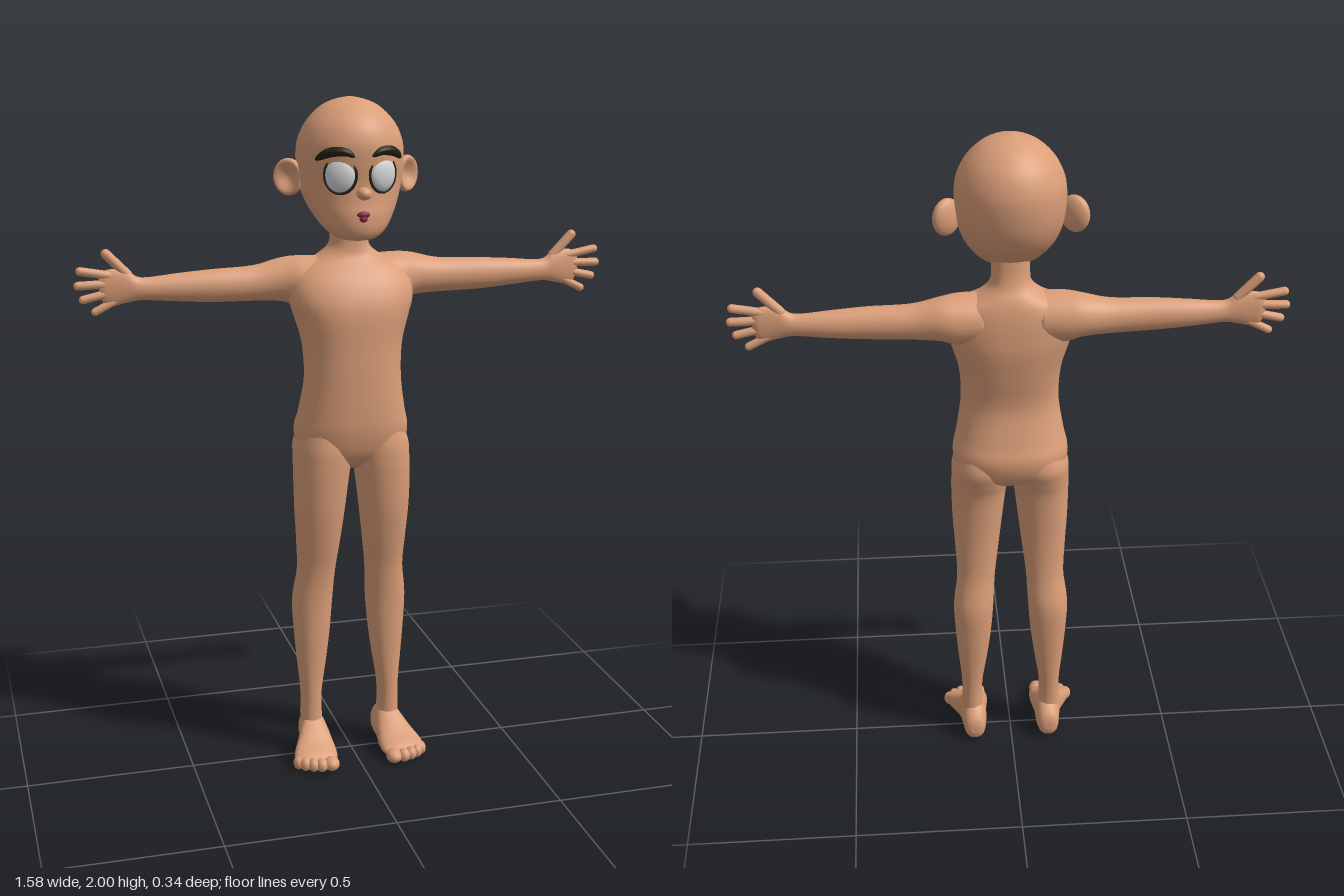
import * as THREE from 'three';

const mat = (name, color) => Object.assign(new THREE.MeshStandardMaterial({ color }), { name });

// Smooth scalar interpolation between neighbouring cross-sections
const blend = (a, b, c, d, t) =>
  0.5 * (2 * b + (c - a) * t + (2 * a - 5 * b + 4 * c - d) * t * t + (3 * b - a - 3 * c + d) * t * t * t);

// Closed loft along an axis. Rows are [w, uMin, uMax, vMin, vMax], where
// (u, v, w) is (z, x, y) for 'y', (y, z, x) for 'x' and (x, y, z) for 'z'.
function loft(axis, rows, power = 2, sides = 32, steps = 5) {
  const place = { x: (u, v, w) => [w, u, v], y: (u, v, w) => [v, w, u], z: (u, v, w) => [u, v, w] }[axis];
  const round = (s) => Math.sign(s) * Math.abs(s) ** (2 / power);
  const at = (i) => rows[Math.max(0, Math.min(rows.length - 1, i))];
  const rings = (rows.length - 1) * steps;
  const pos = [], idx = [];
  for (let k = 0; k <= rings; k++) {
    const i = Math.min(Math.floor(k / steps), rows.length - 2), t = k / steps - i;
    const [w, u0, u1, v0, v1] = rows[0].map((_, j) => blend(at(i - 1)[j], at(i)[j], at(i + 1)[j], at(i + 2)[j], t));
    for (let s = 0; s < sides; s++) {
      const a = (s / sides) * Math.PI * 2;
      pos.push(...place((u0 + u1) / 2 + (u1 - u0) / 2 * round(Math.cos(a)),
        (v0 + v1) / 2 + (v1 - v0) / 2 * round(Math.sin(a)), w));
      if (k < rings) {
        const p = k * sides + s, q = k * sides + (s + 1) % sides;
        idx.push(p, q, q + sides, p, q + sides, p + sides);
      }
    }
  }
  // End caps
  [rows[0], rows[rows.length - 1]].forEach(([w, u0, u1, v0, v1], end) => {
    const c = pos.length / 3, base = end ? rings * sides : 0;
    pos.push(...place((u0 + u1) / 2, (v0 + v1) / 2, w));
    for (let s = 0; s < sides; s++) {
      const p = base + s, q = base + (s + 1) % sides;
      idx.push(c, ...(end ? [p, q] : [q, p]));
    }
  });
  const g = new THREE.BufferGeometry();
  g.setAttribute('position', new THREE.Float32BufferAttribute(pos, 3));
  g.setIndex(idx);
  g.computeVertexNormals();
  return g;
}

// Symmetric loft rows [y, zBack, zFront, halfWidth]
const sym = (rows) => rows.map(([y, b, f, h]) => [y, b, f, -h, h]);

function ball(x, y, z, rx, ry, rz, turn = 0) {
  return new THREE.SphereGeometry(1, 24, 16).scale(rx, ry, rz).rotateY(turn).translate(x, y, z);
}

// Rounded finger between two points
function digit(a, b, r) {
  const p = new THREE.Vector3(...a), q = new THREE.Vector3(...b), d = q.clone().sub(p);
  const g = new THREE.CapsuleGeometry(r, d.length(), 6, 12);
  g.applyQuaternion(new THREE.Quaternion().setFromUnitVectors(new THREE.Vector3(0, 1, 0), d.normalize()));
  return g.translate((p.x + q.x) / 2, (p.y + q.y) / 2, (p.z + q.z) / 2);
}

function mirror(geo) {
  const g = geo.clone().scale(-1, 1, 1), ix = g.index;
  for (let i = 0; i < ix.count; i += 3) {
    const b = ix.getX(i + 1);
    ix.setX(i + 1, ix.getX(i + 2));
    ix.setX(i + 2, b);
  }
  g.computeVertexNormals();
  return g;
}

// Cupped ear: a flattened ball with a hollow front
function earShape() {
  const g = new THREE.SphereGeometry(1, 24, 24).rotateX(Math.PI / 2), p = g.attributes.position;
  for (let i = 0; i < p.count; i++) {
    const z = p.getZ(i), rho = p.getX(i) ** 2 + p.getY(i) ** 2;
    if (z > 0) p.setZ(i, z * (1.8 * rho - 0.2));
  }
  g.scale(0.046, 0.053, 0.022).rotateY(0.64).translate(0.174, 1.778, -0.035);
  g.computeVertexNormals();
  return g;
}

// Eyebrow: a tube tapered towards both ends
function browShape() {
  const curve = new THREE.CatmullRomCurve3([[0.024, 1.845, 0.134], [0.05, 1.859, 0.128], [0.09, 1.857, 0.107],
    [0.125, 1.835, 0.075]].map((p) => new THREE.Vector3(...p)));
  const n = 20, sides = 10, g = new THREE.TubeGeometry(curve, n, 0.014, sides), p = g.attributes.position;
  const v = new THREE.Vector3();
  for (let i = 0; i <= n; i++) {
    const c = curve.getPointAt(i / n), k = Math.sqrt(Math.sin(Math.PI * Math.min(1, Math.max(0, i / n))) + 1e-4);
    for (let s = 0; s <= sides; s++) {
      const j = i * (sides + 1) + s;
      v.fromBufferAttribute(p, j).sub(c).multiplyScalar(k).add(c);
      p.setXYZ(j, v.x, v.y, v.z);
    }
  }
  g.computeVertexNormals();
  return g;
}

export function createModel() {
  const model = new THREE.Group();
  model.name = 'mannequin';
  const skin = mat('skin', 0xdb9e78), white = mat('eyeWhite', 0xd3d6d8);
  const dark = mat('lashDark', 0x26261f), brow = mat('browDark', 0x23230f), lip = mat('lipRed', 0x84283a);

  const add = (name, geo, m) => {
    const mesh = new THREE.Mesh(geo, m);
    mesh.name = name;
    model.add(mesh);
  };
  const pair = (name, geo, m) => {
    add('left' + name, geo, m);
    add('right' + name, mirror(geo), m);
  };

  // Torso and neck
  add('torso', loft('y', sym([
    [0.925, -0.03, 0.04, 0.02], [0.945, -0.075, 0.07, 0.09], [0.98, -0.11, 0.095, 0.155],
    [1.04, -0.125, 0.112, 0.17], [1.1, -0.11, 0.118, 0.158], [1.2, -0.09, 0.12, 0.143],
    [1.3, -0.105, 0.12, 0.147], [1.38, -0.118, 0.12, 0.168], [1.43, -0.12, 0.112, 0.182],
    [1.48, -0.118, 0.09, 0.178], [1.52, -0.112, 0.06, 0.15], [1.55, -0.102, 0.035, 0.095],
    [1.58, -0.085, 0.028, 0.06], [1.62, -0.075, 0.028, 0.054], [1.68, -0.07, 0.03, 0.054],
  ]), 2.3, 40), skin);

  // Head
  add('head', loft('y', sym([
    [1.607, 0.03, 0.09, 0.025], [1.615, 0.0, 0.118, 0.058], [1.64, -0.05, 0.132, 0.09],
    [1.68, -0.105, 0.134, 0.117], [1.72, -0.138, 0.128, 0.136], [1.77, -0.16, 0.126, 0.149],
    [1.83, -0.17, 0.134, 0.154], [1.88, -0.167, 0.136, 0.149], [1.93, -0.147, 0.118, 0.126],
    [1.97, -0.108, 0.077, 0.088], [1.99, -0.07, 0.04, 0.05], [2.0, -0.025, -0.005, 0.008],
  ]), 2, 48), skin);
  add('nose', ball(0, 1.745, 0.138, 0.021, 0.018, 0.026), skin);
  pair('Ear', earShape(), skin);

  // Eyes, lashes, brows and mouth
  pair('Eye', ball(0.06, 1.795, 0.105, 0.045, 0.051, 0.023, 0.4), white);
  pair('LashRim', new THREE.TorusGeometry(0.045, 0.004, 8, 40).scale(1, 1.13, 1)
    .rotateY(0.4).translate(0.061, 1.795, 0.112), dark);
  pair('Eyebrow', browShape(), brow);
  add('upperLip', ball(0, 1.686, 0.133, 0.019, 0.009, 0.008), lip);
  add('lowerLip', ball(0, 1.674, 0.133, 0.012, 0.009, 0.008), lip);

  // Arm and palm
  pair('Arm', loft('x', [
    [0.08, 1.41, 1.55, -0.11, 0.04], [0.15, 1.405, 1.551, -0.115, 0.03], [0.2, 1.42, 1.545, -0.112, 0.012],
    [0.28, 1.425, 1.527, -0.095, 0], [0.4, 1.428, 1.522, -0.085, -0.003], [0.5, 1.435, 1.515, -0.08, -0.01],
    [0.6, 1.443, 1.508, -0.068, -0.02], [0.64, 1.438, 1.53, -0.065, -0.024], [0.68, 1.43, 1.535, -0.062, -0.03],
    [0.705, 1.435, 1.53, -0.06, -0.034], [0.72, 1.46, 1.51, -0.052, -0.04],
  ]), skin);
  // Thumb and fingers: base x, y, tip x, y, radius
  [['Thumb', 0.64, 1.518, 0.698, 1.578, 0.014], ['IndexFinger', 0.69, 1.517, 0.772, 1.532, 0.0125],
    ['MiddleFinger', 0.69, 1.493, 0.779, 1.491, 0.0125], ['RingFinger', 0.69, 1.468, 0.766, 1.451, 0.012],
    ['LittleFinger', 0.67, 1.447, 0.734, 1.415, 0.0115],
  ].forEach(([n, x0, y0, x1, y1, r]) => pair(n, digit([x0, y0, -0.046], [x1, y1, -0.046], r), skin));

  // Leg
  pair('Leg', loft('y', [
    [0.07, -0.065, 0.02, 0.085, 0.155], [0.12, -0.062, 0.018, 0.09, 0.156], [0.2, -0.065, 0.018, 0.09, 0.155],
    [0.3, -0.075, 0.02, 0.075, 0.164], [0.4, -0.085, 0.025, 0.062, 0.172], [0.5, -0.09, 0.03, 0.054, 0.176],
    [0.6, -0.073, 0.042, 0.048, 0.164], [0.7, -0.07, 0.065, 0.036, 0.168], [0.8, -0.075, 0.085, 0.024, 0.174],
    [0.9, -0.085, 0.096, 0.012, 0.176], [0.95, -0.1, 0.1, 0.004, 0.175], [1, -0.114, 0.1, 0.002, 0.172],
    [1.06, -0.1, 0.09, 0.02, 0.15],
  ], 2.15), skin);

  // Foot and toes
  pair('Foot', loft('z', [
    [-0.095, 0.105, 0.13, 0.035, 0.065], [-0.085, 0.088, 0.148, 0.01, 0.09], [-0.05, 0.08, 0.156, 0.001, 0.12],
    [0, 0.078, 0.165, 0.002, 0.122], [0.04, 0.073, 0.182, 0.002, 0.095], [0.08, 0.07, 0.2, 0.004, 0.068],
    [0.115, 0.074, 0.203, 0.008, 0.05], [0.135, 0.09, 0.18, 0.015, 0.035],
  ], 2.3), skin);
  [[0.099, 0.14, 0.024], [0.13, 0.143, 0.018], [0.154, 0.136, 0.017], [0.176, 0.124, 0.017], [0.194, 0.108, 0.016],
  ].forEach(([x, z, r], i) => pair('Toe' + (i + 1), ball(x, 0.023, z, r, 0.021, r * 1.2), skin));

  return model;
}
